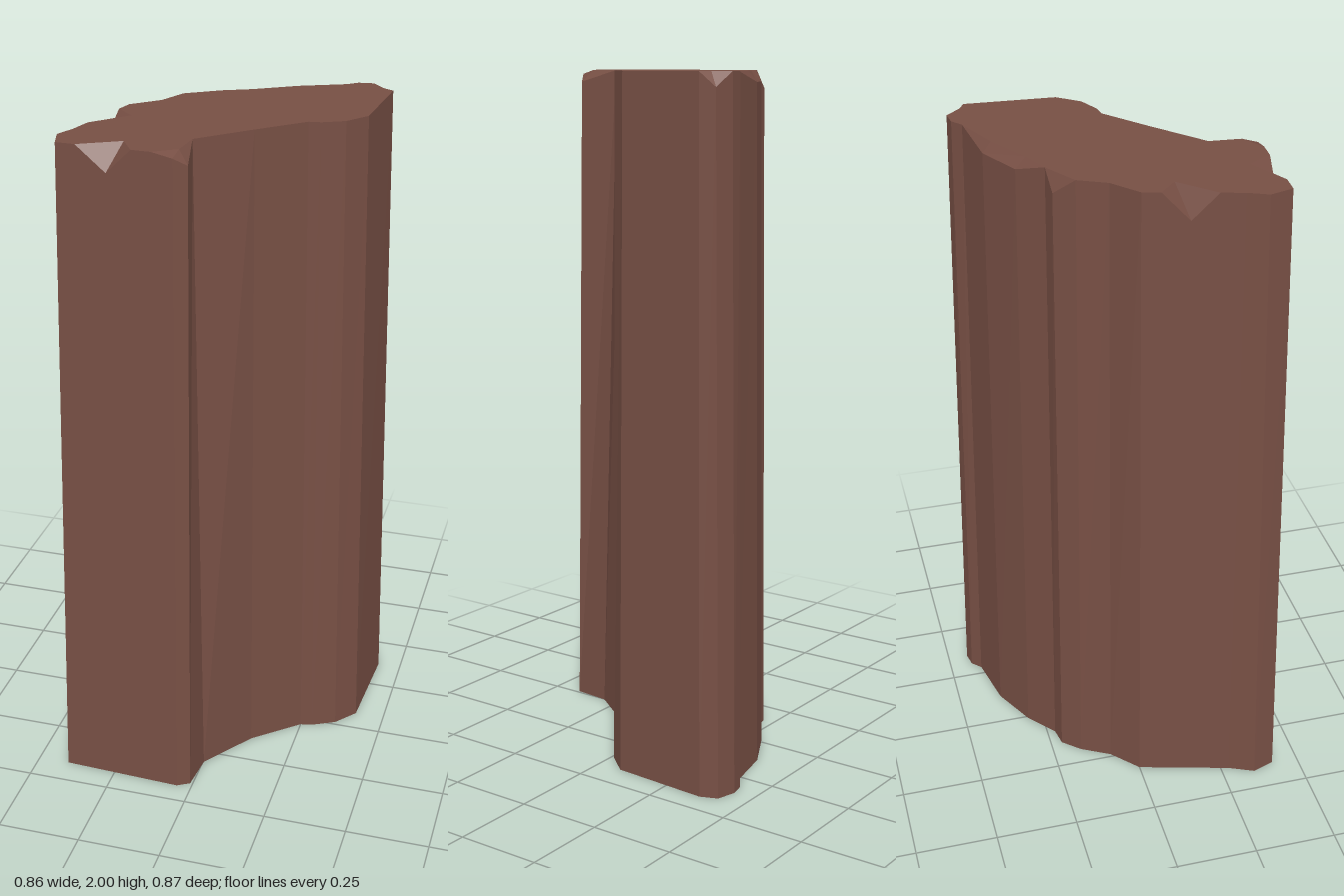
import * as THREE from 'three';

const HEIGHT = 2;

// Column outline, counter-clockwise from above: [foot x, foot z, top x, top z]
const OUTLINE = [
  [-0.405, 0.418, -0.365, 0.378], [-0.045, 0.433, -0.04, 0.392],
  [-0.008, 0.412, -0.005, 0.37], [0.003, 0.3, -0.027, 0.255],
  [0.115, 0.145, 0.108, 0.13], [0.25, 0.03, 0.23, 0.022],
  [0.285, 0.023, 0.265, 0.018], [0.355, -0.012, 0.327, -0.012],
  [0.41, -0.077, 0.376, -0.076], [0.427, -0.37, 0.393, -0.34],
  [0.407, -0.42, 0.38, -0.385], [0.35, -0.437, 0.325, -0.4],
  [0.308, -0.428, 0.28, -0.395], [0.28, -0.4, 0.25, -0.37],
  [0.12, -0.365, 0.115, -0.34], [-0.008, -0.297, -0.008, -0.275],
  [-0.092, -0.225, -0.08, -0.21], [-0.147, -0.215, -0.135, -0.203],
  [-0.193, -0.162, -0.177, -0.15], [-0.24, -0.075, -0.215, -0.07],
  [-0.32, 0, -0.29, -0.005], [-0.395, 0.275, -0.36, 0.255],
  [-0.428, 0.35, -0.385, 0.31],
];

// Broken rim: edge index, position along the edge, drop below the top, inner corner
const CHIPS = [
  { edge: 0, t: 0.17 }, { edge: 0, t: 0.43, drop: 0.07, inner: [-0.195, 0.32] },
  { edge: 0, t: 0.65 }, { edge: 0, t: 0.82 },
  { edge: 1, t: 0, drop: 0.012, inner: [-0.065, 0.366] },
  { edge: 2, t: 0, drop: 0.035, inner: [-0.035, 0.348] },
  { edge: 10, t: 0, drop: 0.04, inner: [0.362, -0.358] },
  { edge: 14, t: 0, drop: 0.03, inner: [0.12, -0.315] },
  { edge: 15, t: 0, drop: 0.03, inner: [0, -0.245] },
  { edge: 17, t: 0, drop: 0.05, inner: [-0.127, -0.181] },
  { edge: 20, t: 0.19 }, { edge: 20, t: 0.48, drop: 0.08, inner: [-0.25, 0.095] },
  { edge: 20, t: 0.75 },
];

// One vertical column of points: foot, rim, and the edge of the flat top
function makeColumn([bx, bz, tx, tz], { drop = 0, inner = [tx, tz] } = {}) {
  return {
    foot: new THREE.Vector3(bx, 0, bz),
    rim: new THREE.Vector3(tx, HEIGHT - drop, tz),
    crown: new THREE.Vector3(inner[0], HEIGHT, inner[1]),
  };
}

function makeColumns() {
  return OUTLINE.flatMap((a, i) => {
    const b = OUTLINE[(i + 1) % OUTLINE.length];
    const chips = CHIPS.filter((c) => c.edge === i);
    if (!chips.some((c) => c.t === 0)) chips.unshift({ t: 0 });
    return chips.map((c) => makeColumn(a.map((v, k) => THREE.MathUtils.lerp(v, b[k], c.t)), c));
  });
}

function trianglesToMesh(name, triangles, material) {
  const area = new THREE.Triangle();
  const points = triangles.filter(([a, b, c]) => area.set(a, b, c).getArea() > 1e-8).flat();
  const geometry = new THREE.BufferGeometry().setFromPoints(points);
  geometry.computeVertexNormals();
  const mesh = new THREE.Mesh(geometry, material);
  mesh.name = name;
  return mesh;
}

// Closed band of quads between two rings of the columns
function band(columns, low, high) {
  return columns.flatMap((c, i) => {
    const n = columns[(i + 1) % columns.length];
    return [[c[low], n[low], n[high]], [c[low], n[high], c[high]]];
  });
}

// Flat cap over one ring
function cap(columns, ring, up) {
  const flat = columns.map((c) => new THREE.Vector2(c[ring].x, -c[ring].z));
  return THREE.ShapeUtils.triangulateShape(flat, []).map((face) => {
    const corners = face.map((i) => columns[i][ring]);
    return up ? corners : corners.reverse();
  });
}

export function createModel() {
  const group = new THREE.Group();
  group.name = 'rockPillar';
  const stone = new THREE.MeshStandardMaterial({ color: 0x774f44, flatShading: true });
  const columns = makeColumns();

  group.add(
    trianglesToMesh('pillarSides', band(columns, 'foot', 'rim'), stone),
    trianglesToMesh('chippedRim', band(columns, 'rim', 'crown'), stone),
    trianglesToMesh('topFace', cap(columns, 'crown', true), stone),
    trianglesToMesh('baseFace', cap(columns, 'foot', false), stone),
  );
  return group;
}
